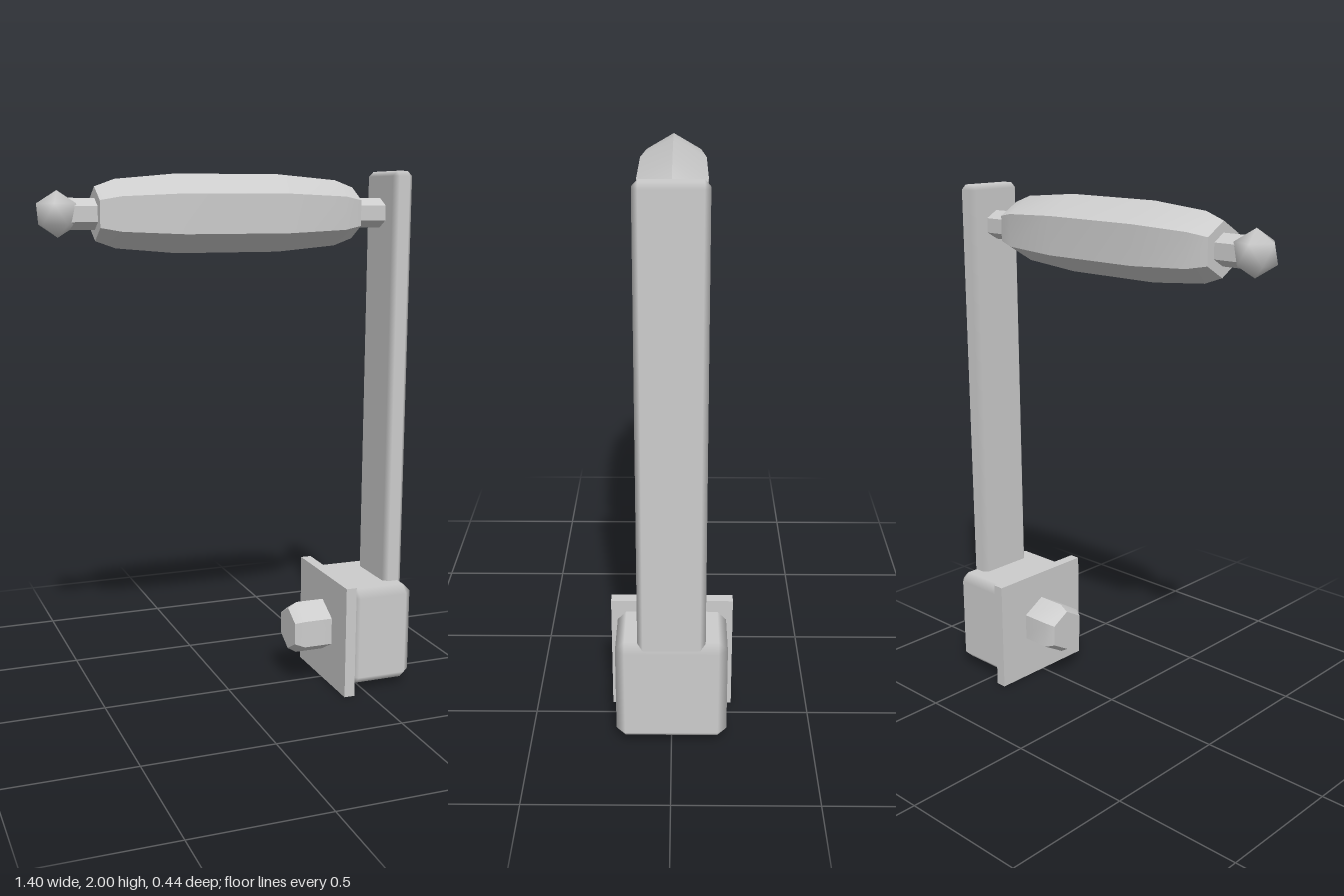
import * as THREE from 'three';
import { toCreasedNormals } from 'three/addons/utils/BufferGeometryUtils.js';
import { ConvexGeometry } from 'three/addons/geometries/ConvexGeometry.js';

const AXIS_Y = 1.846; // height of the grip axis

// Box with single-cut bevels; main faces stay flat, bevels shade smoothly
function bevelledBox(w, h, d, b) {
  const half = [w / 2, h / 2, d / 2];
  const points = [];
  for (const sx of [-1, 1]) for (const sy of [-1, 1]) for (const sz of [-1, 1]) {
    const s = [sx, sy, sz];
    for (let axis = 0; axis < 3; axis++) {
      points.push(new THREE.Vector3(...s.map((v, i) => v * (half[i] - (i === axis ? 0 : b)))));
    }
  }
  const geo = new ConvexGeometry(points);
  const pos = geo.attributes.position;
  for (let i = 0; i < pos.count; i++) {
    const p = [pos.getX(i), pos.getY(i), pos.getZ(i)];
    const n = p.map((v, k) => (Math.abs(v) > half[k] - b / 2 ? Math.sign(v) : 0));
    geo.attributes.normal.setXYZ(i, ...n);
  }
  return geo;
}

// Six-sided turned shape along x, with a ridge on top; profile is [radius, x]
function hexTurned(profile) {
  const pts = profile.map(([r, x]) => new THREE.Vector2(r, x));
  const geo = new THREE.LatheGeometry(pts, 6, Math.PI / 6);
  geo.rotateZ(-Math.PI / 2);
  return toCreasedNormals(geo, Math.PI / 6);
}

export function createModel() {
  const group = new THREE.Group();
  group.name = 'crankLever';
  const metal = new THREE.MeshStandardMaterial({ color: 0xcccccc });
  metal.name = 'light grey';

  const add = (name, geo, x, y, z = 0) => {
    const mesh = new THREE.Mesh(geo, metal);
    mesh.name = name;
    mesh.position.set(x, y, z);
    group.add(mesh);
  };

  // Foot: block, flat plate and hexagonal bolt
  add('baseBlock', bevelledBox(0.26, 0.388, 0.39, 0.032), 0.57, 0.221);
  add('mountPlate', new THREE.BoxGeometry(0.042, 0.44, 0.44), 0.42, 0.22);
  add('hexBolt', hexTurned([
    [0, 0.25], [0.084, 0.25], [0.105, 0.285], [0.105, 0.41], [0, 0.41],
  ]), 0, 0.225);

  // Upright arm
  add('arm', bevelledBox(0.08, 1.64, 0.236, 0.019), 0.65, 1.18);

  // Axle, swelling grip and end knob
  add('axle', hexTurned([
    [0, -0.61], [0.055, -0.61], [0.055, 0.63], [0, 0.63],
  ]), 0, AXIS_Y);
  add('grip', hexTurned([
    [0, -0.498], [0.094, -0.498], [0.12, -0.425], [0.14, -0.2],
    [0.14, 0.19], [0.12, 0.42], [0.094, 0.492], [0, 0.492],
  ]), 0, AXIS_Y);

  const knob = new THREE.IcosahedronGeometry(0.081, 0);
  knob.rotateZ(Math.atan(2 / (1 + Math.sqrt(5)))); // one corner points up
  const p = knob.attributes.position;
  const n = new THREE.Vector3();
  for (let i = 0; i < p.count; i++) {
    n.fromBufferAttribute(p, i).normalize();
    knob.attributes.normal.setXYZ(i, n.x, n.y, n.z);
  }
  add('knob', knob, -0.63, AXIS_Y);

  // Unit-length normals on the bevelled parts
  group.children.forEach((m) => m.geometry.normalizeNormals());
  return group;
}
